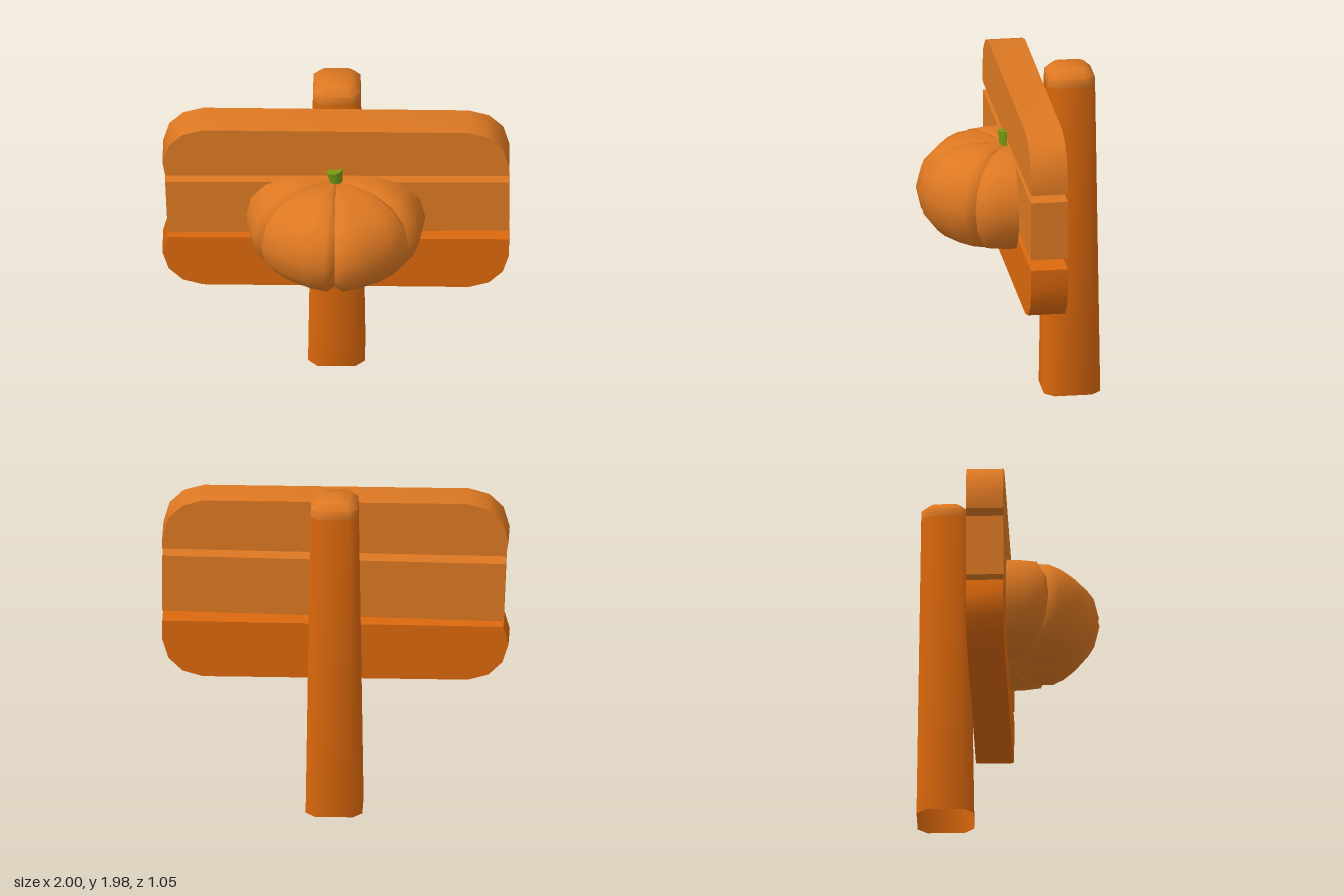
import * as THREE from 'three';
import { toCreasedNormals } from 'three/addons/utils/BufferGeometryUtils.js';

const material = (name, color, side = THREE.FrontSide) => {
  const m = new THREE.MeshStandardMaterial({ color, side });
  m.name = name;
  return m;
};

// Skin of quads over a grid of points; rows run upward, columns counter-clockwise seen from above
function skin(rows) {
  const n = rows[0].length, index = [];
  for (let r = 0; r < rows.length - 1; r++) {
    for (let c = 0; c < n - 1; c++) {
      const a = r * n + c, b = a + 1, d = a + n, e = d + 1;
      index.push(a, b, e, a, e, d);
    }
  }
  const g = new THREE.BufferGeometry();
  g.setAttribute('position', new THREE.Float32BufferAttribute(rows.flat(2), 3));
  g.setIndex(index);
  g.computeVertexNormals();
  return g;
}

// Closed octagonal ring: a square with cut corners
function postRing(y, half, cut) {
  const k = half - cut, z0 = -0.365;
  const p = [[k, half], [half, k], [half, -k], [k, -half], [-k, -half], [-half, -k], [-half, k], [-k, half]];
  return [...p, p[0]].map(([x, z]) => [x, y, z + z0]);
}

export function createModel() {
  const group = new THREE.Group();
  const light = material('light orange', 0xdd7822, THREE.DoubleSide);
  const dark = material('deep orange', 0xdc680c, THREE.DoubleSide);
  const green = material('stem green', 0x769a12, THREE.DoubleSide);

  const add = (name, geometry, mat, parent = group) => {
    const mesh = new THREE.Mesh(geometry, mat);
    mesh.name = name;
    parent.add(mesh);
    return mesh;
  };

  // Tapered post, open underneath, with a bevelled cap
  add('post', toCreasedNormals(skin([postRing(0, 0.164, 0.055), postRing(1.88, 0.137, 0.045)]), 0.9), dark);
  add('postCap', toCreasedNormals(skin([
    postRing(1.88, 0.137, 0.045), postRing(1.93, 0.135, 0.045),
    postRing(1.975, 0.09, 0.025), postRing(1.975, 0, 0),
  ]), 0.9), light);

  // Planks: slightly crooked boards, the outer two with rounded corners
  const planks = [
    ['topPlank', light, [[-0.985, 1.53], [1, 1.55], [1, 1.62], [0.965, 1.745], [0.885, 1.825], [0.765, 1.86],
      [-0.765, 1.86], [-0.885, 1.825], [-0.965, 1.745], [-1, 1.62]]],
    ['middlePlank', light, [[-0.97, 1.115], [1, 1.155], [1, 1.505], [-0.985, 1.48]]],
    ['bottomPlank', dark, [[-0.97, 1.08], [-1, 0.97], [-0.965, 0.855], [-0.885, 0.775], [-0.765, 0.74],
      [0.765, 0.74], [0.885, 0.775], [0.965, 0.855], [1, 0.97], [1, 1.09]]],
  ];
  for (const [name, mat, outline] of planks) {
    const shape = new THREE.Shape(outline.map(([x, y]) => new THREE.Vector2(x, y)));
    const g = new THREE.ExtrudeGeometry(shape, { depth: 0.215, bevelEnabled: false });
    g.translate(0, 0, -0.215);
    add(name, toCreasedNormals(g, 0.65), mat);
  }

  // Half pumpkin on the board: lobes of 60 degrees with narrow grooves between them
  const pumpkin = new THREE.Group();
  pumpkin.name = 'pumpkin';
  group.add(pumpkin);
  const profile = [[0, 0.99], [0.12, 0.965], [0.26, 0.955], [0.41, 1.01], [0.495, 1.12], [0.525, 1.25],
    [0.495, 1.375], [0.41, 1.47], [0.26, 1.53], [0.12, 1.525], [0, 1.5]];
  const midY = 1.245;
  const lobe = (angles) => skin(profile.map(([r, y]) => angles.map((deg) => {
    const groove = deg % 60 === 0 ? 0.92 : Math.abs(deg) % 60 > 10 && Math.abs(deg) % 60 < 50 ? 0.985 : 1;
    const a = THREE.MathUtils.degToRad(deg);
    const fall = deg % 60 === 0 && r > 0 ? 0.93 : 1;
    return [r * groove * Math.sin(a), midY + (y - midY) * fall, r * groove * Math.cos(a)];
  })));
  const lobes = {
    rightSideLobe: [-90, -78, -65, -60],
    rightFrontLobe: [-60, -54, -40, -20, -6, 0],
    leftFrontLobe: [0, 6, 20, 40, 54, 60],
    leftSideLobe: [60, 65, 78, 90],
  };
  for (const [name, angles] of Object.entries(lobes)) add(name, lobe(angles), light, pumpkin);

  // Half stem, flaring and leaning a little
  const stem = add('stem', new THREE.CylinderGeometry(0.048, 0.034, 0.1, 6, 1, false, -Math.PI / 2, Math.PI), green, pumpkin);
  stem.position.set(-0.002, 1.538, 0.005);
  stem.rotation.z = 0.14;

  return group;
}
